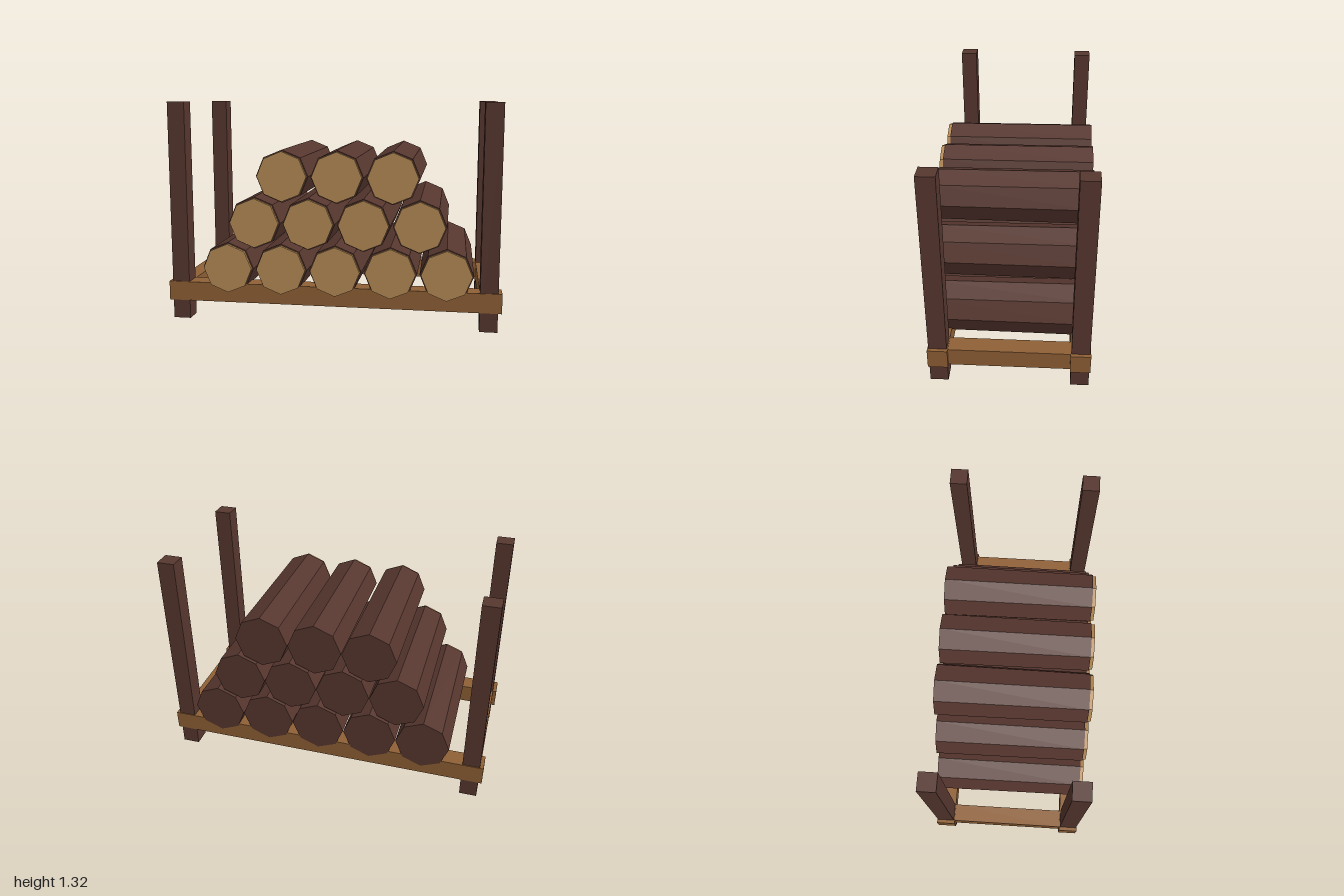
import * as THREE from 'three';

export function createModel() {
  const root = new THREE.Group();
  root.name = 'firewoodRack';

  const mat = (name, color) => {
    const m = new THREE.MeshStandardMaterial({ color, flatShading: true });
    m.name = name;
    return m;
  };
  const bark = mat('darkBark', 0x57372f);
  const rail = mat('railWood', 0x8f6035);
  const cut = mat('cutWood', 0xb68b55);

  const add = (name, geo, material, x, y, z, parent = root) => {
    const mesh = new THREE.Mesh(geo, material);
    mesh.name = name;
    mesh.position.set(x, y, z);
    parent.add(mesh);
    return mesh;
  };

  // Upright posts at the four corners
  const postGeo = new THREE.BoxGeometry(0.104, 1.32, 0.104);
  for (const x of [-0.926, 0.926]) {
    for (const z of [-0.407, 0.393]) add('post', postGeo, bark, x, 0.66, z);
  }

  // Long rails wrap the posts, short rails join them
  const longRail = new THREE.BoxGeometry(2, 0.116, 0.114);
  add('frontRail', longRail, rail, 0, 0.172, 0.393);
  add('backRail', longRail, rail, 0, 0.172, -0.407);
  const shortRail = new THREE.BoxGeometry(0.104, 0.108, 0.69);
  for (const x of [-0.926, 0.926]) add('sideRail', shortRail, rail, x, 0.172, -0.007);

  // Eight-sided logs, slightly thinner at the front, with a pale cut end
  const logGeo = new THREE.CylinderGeometry(0.156, 0.162, 0.91, 8).rotateX(Math.PI / 2);
  const endGeo = new THREE.CylinderGeometry(0.148, 0.148, 0.04, 8).rotateX(Math.PI / 2);
  const rows = [
    { count: 5, x: -0.624, y: 0.327 },
    { count: 4, x: -0.456, y: 0.607 },
    { count: 3, x: -0.286, y: 0.887 },
  ];
  for (const { count, x, y } of rows) {
    for (let i = 0; i < count; i++) {
      const log = new THREE.Group();
      log.name = 'log';
      log.position.set(x + i * 0.3265, y, 0);
      add('bark', logGeo, bark, 0, 0, -0.01, log);
      add('cutEnd', endGeo, cut, 0, 0, 0.445, log);
      root.add(log);
    }
  }
  return root;
}
